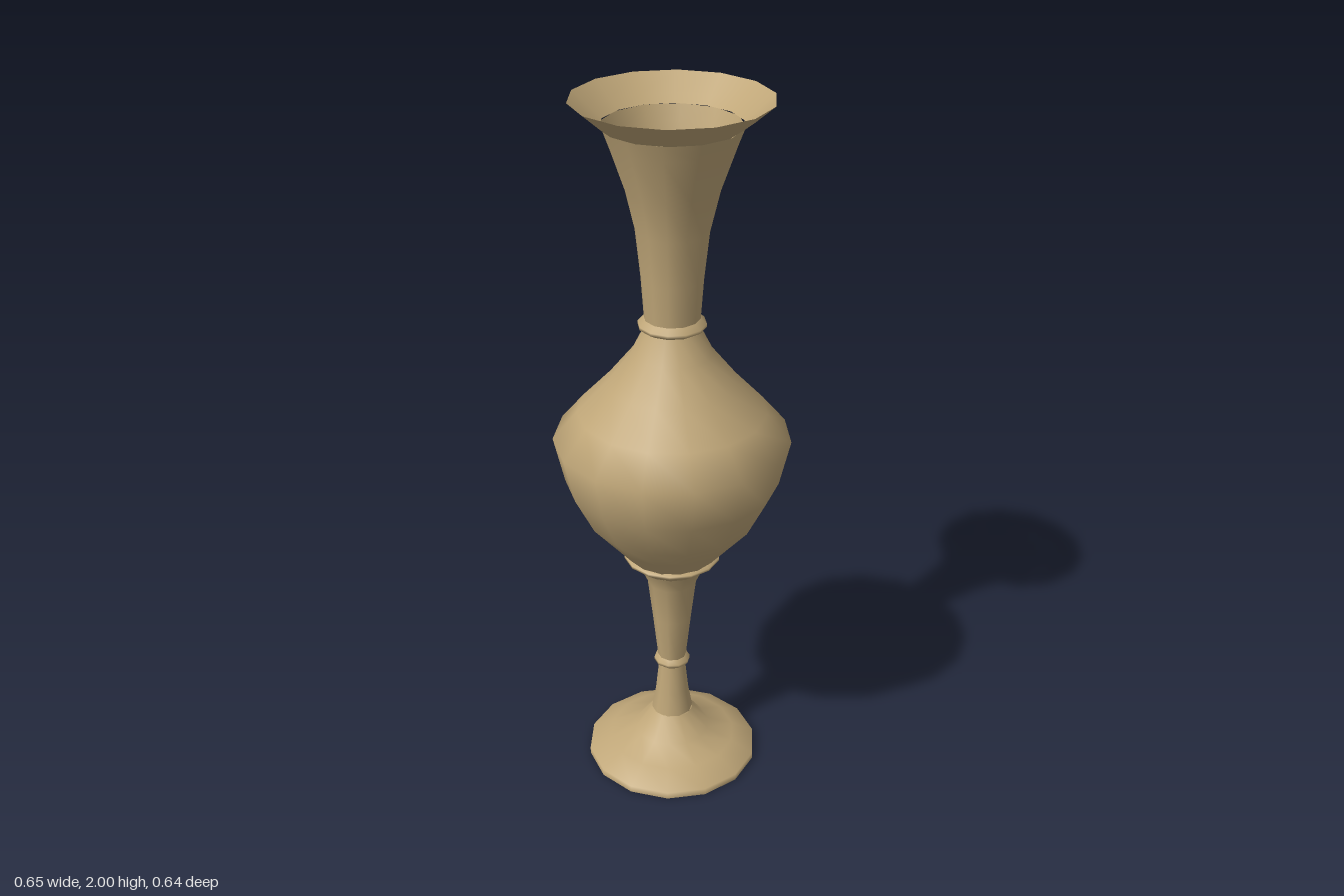
import * as THREE from 'three';

export function createModel() {
  const group = new THREE.Group();
  const brass = new THREE.MeshStandardMaterial({ color: 0xbfa678, side: THREE.DoubleSide });
  brass.name = 'antique tan';

  // Each section is a thin turned shell: [radius, height] from bottom to top
  function turned(name, profile, sides, turn = 0) {
    const points = profile.map(([r, y]) => new THREE.Vector2(r, y));
    const mesh = new THREE.Mesh(new THREE.LatheGeometry(points, sides, turn), brass);
    mesh.name = name;
    group.add(mesh);
    return mesh;
  }

  // Foot with a flat underside
  turned('foot', [[0.25, 0], [0.25, 0.02], [0.185, 0.055], [0.11, 0.085], [0.06, 0.15]], 14);
  const base = new THREE.Mesh(new THREE.CircleGeometry(0.25, 14), brass);
  base.name = 'footUnderside';
  base.rotation.set(Math.PI / 2, 0, Math.PI / 2);
  base.position.y = 0.004;
  group.add(base);

  // Lower and upper stem with a small ring between them
  turned('lowerStem', [[0.06, 0.15], [0.048, 0.22], [0.038, 0.315]], 10);
  turned('stemRing', [[0.038, 0.31], [0.052, 0.322], [0.052, 0.33], [0.041, 0.342]], 10);
  turned('upperStem', [[0.041, 0.34], [0.056, 0.48], [0.07, 0.6], [0.095, 0.655]], 10);
  turned('bodyCollar', [[0.095, 0.655], [0.137, 0.688], [0.137, 0.695], [0.125, 0.70]], 14);

  // Bulging body
  turned('body', [
    [0.125, 0.695], [0.18, 0.76], [0.24, 0.83], [0.295, 0.94], [0.325, 1.07],
    [0.258, 1.15], [0.178, 1.235], [0.11, 1.32], [0.075, 1.39],
  ], 15, 0.2);

  // Neck ring and flared neck
  turned('neckRing', [[0.072, 1.385], [0.092, 1.397], [0.092, 1.405], [0.075, 1.42]], 12);
  turned('neck', [
    [0.075, 1.415], [0.083, 1.53], [0.097, 1.66], [0.123, 1.77], [0.165, 1.89], [0.182, 1.935],
  ], 12);
  turned('flaredRim', [[0.182, 1.935], [0.21, 1.957], [0.26, 2]], 14);

  return group;
}
